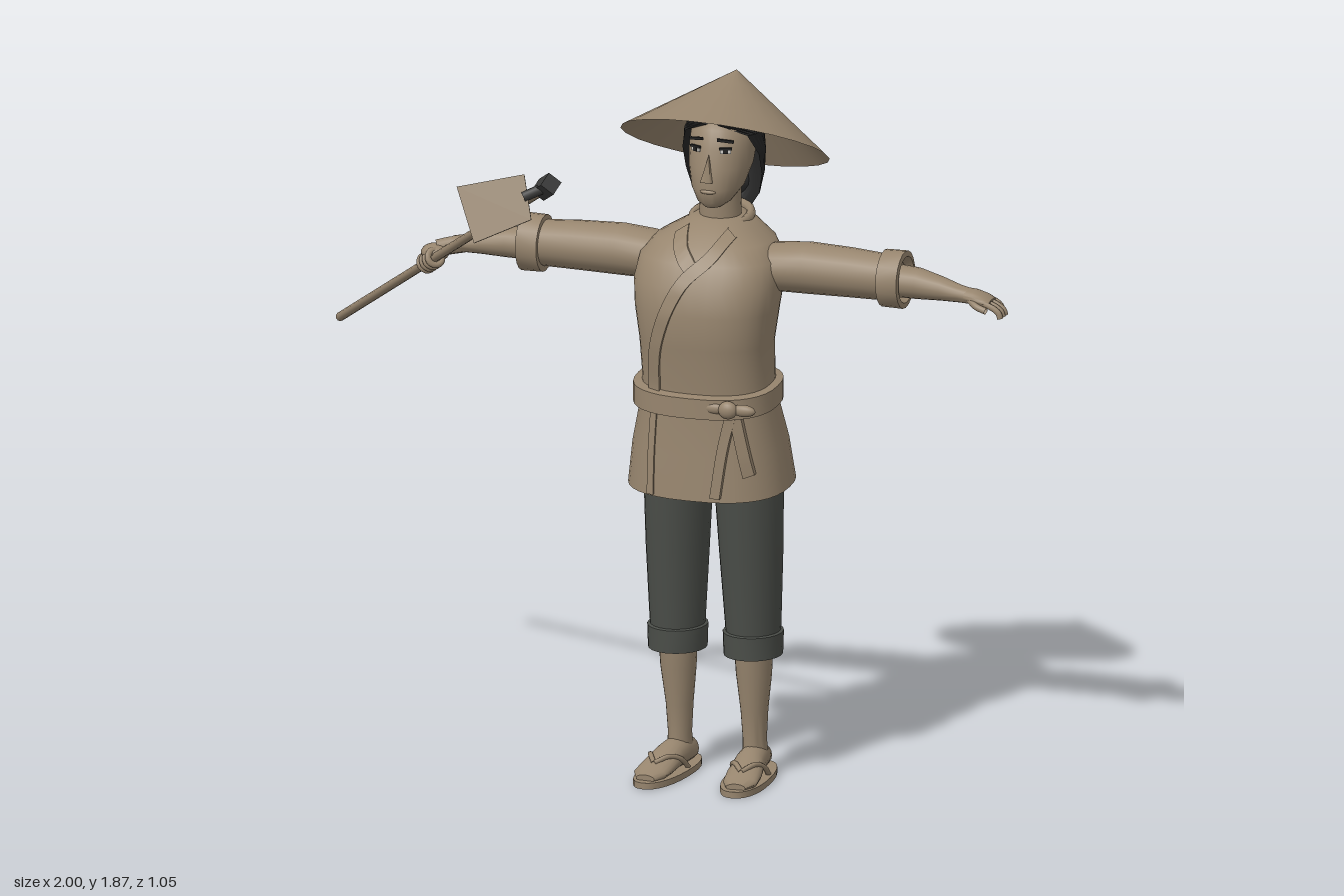
import * as THREE from 'three';
import { toCreasedNormals } from 'three/addons/utils/BufferGeometryUtils.js';
import { ConvexGeometry } from 'three/addons/geometries/ConvexGeometry.js';

const V = (x, y, z) => new THREE.Vector3(x, y, z);
const paint = (name, color) => {
  const m = new THREE.MeshStandardMaterial({ color, side: THREE.DoubleSide });
  m.name = name;
  return m;
};
const tan = paint('tan', 0x97856e), slate = paint('slate', 0x4b4e49);
const black = paint('black', 0x232323), iron = paint('iron', 0x3b3b3a), white = paint('white', 0xd8d6d0);

function add(parent, name, geo, mat) {
  const m = new THREE.Mesh(geo, mat);
  m.name = name;
  parent.add(m);
  return m;
}

// Skin over rounded cross-sections, in increasing order along an axis (0 x, 1 y, 2 z).
// Ring: [position, centre 1, radius 1, centre 2, radius 2, opening half-angle]
function loft(axis, rings, { n = 20, exp = 2, cap0 = true, cap1 = true } = {}) {
  const pos = [], idx = [], put = (a, b, c) => {
    const p = [0, 0, 0];
    p[axis] = a; p[(axis + 1) % 3] = b; p[(axis + 2) % 3] = c;
    pos.push(...p);
  };
  const pw = t => Math.sign(t) * Math.abs(t) ** (2 / exp);
  for (const [a, c1, r1, c2, r2, open = 0] of rings)
    for (let j = 0; j <= n; j++) {
      const t = open + (j / n) * (2 * Math.PI - 2 * open);
      put(a, c1 + r1 * pw(Math.cos(t)), c2 + r2 * pw(Math.sin(t)));
    }
  const w = n + 1, last = (rings.length - 1) * w;
  for (let i = 0; i < last; i += w)
    for (let j = i; j < i + n; j++) idx.push(j, j + 1, j + w, j + 1, j + w + 1, j + w);
  const cap = (ring, base, flip) => {
    const c = pos.length / 3;
    put(ring[0], ring[1], ring[3]);
    for (let j = base; j < base + n; j++) flip ? idx.push(c, j + 1, j) : idx.push(c, j, j + 1);
  };
  if (cap0) cap(rings[0], 0, true);
  if (cap1) cap(rings[rings.length - 1], last, false);
  return finish(pos, idx);
}
function finish(pos, idx) {
  const g = new THREE.BufferGeometry();
  g.setAttribute('position', new THREE.Float32BufferAttribute(pos, 3));
  g.setIndex(idx);
  return toCreasedNormals(g, 0.8);
}
// Move vertices by a rule
function warp(g, rule) {
  const p = g.attributes.position, v = V(0, 0, 0);
  for (let i = 0; i < p.count; i++) { v.fromBufferAttribute(p, i); rule(v); p.setXYZ(i, v.x, v.y, v.z); }
  return g;
}
const tilt = v => { if (v.y < 1.15) v.y -= (v.z + 0.15) * 0.08; };
const tube = (pts, r, n = 12) => new THREE.TubeGeometry(new THREE.CatmullRomCurve3(pts), n, r, 8);
const ball = (x, y, z, a, b, c) => new THREE.SphereGeometry(1, 18, 12).scale(a, b, c).translate(x, y, z);
const box = (x, y, z, a, b, c) => new THREE.BoxGeometry(a, b, c).translate(x, y, z);
function rod(a, b, r) {
  const d = b.clone().sub(a), q = new THREE.Quaternion().setFromUnitVectors(V(0, 1, 0), d.clone().normalize());
  return new THREE.CylinderGeometry(r, r, d.length(), 10).applyQuaternion(q).translate((a.x + b.x) / 2, (a.y + b.y) / 2, (a.z + b.z) / 2);
}
// Mirrored copy of a group across x, with winding kept outward
function mirrored(group, name) {
  const out = new THREE.Group();
  out.name = name;
  for (const m of group.children) {
    const g = m.geometry.index ? m.geometry.toNonIndexed() : m.geometry.clone();
    g.scale(-1, 1, 1);
    for (const a of [g.attributes.position, g.attributes.normal])
      for (let i = 0; i < a.count; i += 3)
        for (let k = 0; k < 3; k++) {
          const t = a.getComponent(i + 1, k);
          a.setComponent(i + 1, k, a.getComponent(i + 2, k));
          a.setComponent(i + 2, k, t);
        }
    add(out, m.name, g, m.material);
  }
  return out;
}

// Tunic sections: [y, half width, front z, back z]
const tunic = [[.805, .217, .025, -.325], [.92, .203, .018, -.3], [1.03, .18, .01, -.27], [1.1, .172, .01, -.262],
  [1.2, .175, .028, -.255], [1.29, .188, .034, -.265], [1.36, .196, .02, -.28], [1.42, .188, -.012, -.295],
  [1.46, .155, -.05, -.305], [1.49, .1, -.1, -.31], [1.51, .07, -.135, -.3]];
const EXP = 2.5;
function frontZ(x, y) {
  let i = 0;
  while (i < tunic.length - 2 && tunic[i + 1][0] < y) i++;
  const t = THREE.MathUtils.clamp((y - tunic[i][0]) / (tunic[i + 1][0] - tunic[i][0]), 0, 1);
  const [, w, f, b] = tunic[i].map((q, k) => q + (tunic[i + 1][k] - q) * t);
  return (f + b) / 2 + (f - b) / 2 * Math.max(0, 1 - (Math.abs(x) / w) ** EXP) ** (1 / EXP);
}
// Raised strip of cloth lying on the front of the tunic
function strip(pts, width, lift = 0.01) {
  const curve = new THREE.CatmullRomCurve3(pts.map(([x, y]) => V(x, y, 0))), pos = [], idx = [], n = 24;
  for (let i = 0; i <= n; i++) {
    const p = curve.getPoint(i / n), t = curve.getTangent(i / n);
    for (const [s, h] of [[-1, -.004], [-1, lift], [1, lift], [1, -.004]]) {
      const x = p.x - t.y * s * width / 2, y = p.y + t.x * s * width / 2;
      pos.push(x, y, frontZ(x, y) + h);
    }
    if (i < n) for (let k = 0, o = i * 4; k < 3; k++) idx.push(o + k, o + k + 4, o + k + 1, o + k + 1, o + k + 4, o + k + 5);
  }
  return warp(finish(pos, idx), tilt);
}

export function createModel() {
  const model = new THREE.Group(), body = new THREE.Group();
  model.name = 'farmer';
  body.name = 'figure';
  body.position.x = 0.18;
  model.add(body);

  // Tunic, collar and belt
  add(body, 'tunic', warp(loft(1, tunic.map(([y, w, f, b]) => [y, (f + b) / 2, (f - b) / 2, 0, w]),
    { n: 36, exp: EXP, cap0: false }), tilt), tan);
  add(body, 'collar', new THREE.TorusGeometry(1, .16, 8, 28).rotateX(Math.PI / 2).scale(.075, .1, .09)
    .rotateX(.15).translate(0, 1.5, -.222), tan);
  add(body, 'rightLapel', strip([[-.07, 1.49], [-.045, 1.45], [.005, 1.4]], .035, .006), tan);
  add(body, 'leftLapel', strip([[.07, 1.49], [.04, 1.44], [-.02, 1.38], [-.07, 1.28], [-.1, 1.18], [-.108, 1.07]], .035), tan);
  add(body, 'skirtEdge', strip([[-.108, 1.05], [-.112, .92], [-.112, .81]], .02, .007), tan);
  add(body, 'belt', warp(loft(1, [[1.03, -.125, .135, 0, .172], [1.033, -.122, .158, 0, .194],
    [1.087, -.122, .158, 0, .194], [1.09, -.125, .135, 0, .17]], { n: 36, exp: EXP, cap0: false, cap1: false }), tilt), tan);
  add(body, 'beltKnot', ball(.11, 1.05, .03, .026, .024, .018), tan);
  for (const s of [-1, 1])
    add(body, 'beltBow', ball(.11 + s * .04, 1.05, .022, .034, .016, .014), tan);
  add(body, 'longBeltTail', strip([[.11, 1.05], [.09, .95], [.073, .82]], .026, .014), tan);
  add(body, 'shortBeltTail', strip([[.115, 1.05], [.135, .96], [.155, .875]], .026, .014), tan);

  // Head
  add(body, 'neck', loft(1, [[1.44, -.225, .065, 0, .065], [1.5, -.215, .055, 0, .055], [1.62, -.21, .055, 0, .055]]), tan);
  add(body, 'head', loft(1, [[1.545, -.158, .025, 0, .022], [1.56, -.168, .05, 0, .044], [1.595, -.195, .082, 0, .068],
    [1.65, -.22, .1, 0, .083], [1.7, -.235, .102, 0, .087], [1.75, -.24, .092, 0, .082], [1.775, -.243, .07, 0, .06]], { n: 28 }), tan);
  add(body, 'nose', new THREE.ConeGeometry(.019, .075, 4).rotateY(Math.PI / 4).rotateX(-.25).translate(0, 1.655, -.117), tan);
  add(body, 'mouth', ball(0, 1.592, -.117, .022, .006, .008), tan);
  for (const s of [-1, 1]) {
    const face = g => g.rotateY(s * .42).translate(s * .041, 0, -.139);
    add(body, 'eyeWhite', face(box(0, 1.699, 0, .028, .009, .006)), white);
    add(body, 'iris', face(box(0, 1.7, .002, .012, .011, .006)), black);
    add(body, 'eyelid', face(box(0, 1.707, .001, .034, .006, .007)), black);
    add(body, 'eyebrow', face(new THREE.BoxGeometry(.044, .007, .008).rotateZ(-s * .15).translate(0, 1.728, -.001)), black);
  }
  add(body, 'hair', loft(1, [[1.525, -.25, .06, 0, .07, 1.85], [1.56, -.25, .078, 0, .092, 1.6], [1.62, -.245, .097, 0, .106, 1.5],
    [1.68, -.242, .105, 0, .11, 1.3], [1.735, -.243, .102, 0, .105, .95], [1.765, -.242, .092, 0, .096, .15],
    [1.785, -.235, .06, 0, .06]], { n: 30, cap0: false }), black);
  add(body, 'bun', ball(0, 1.56, -.355, .052, .052, .05), black);
  // Straw hat, tipped back
  add(body, 'strawHat', new THREE.ConeGeometry(.277, .197, 24, 4, true).translate(0, .0985, 0).rotateX(-.468).translate(0, 1.69, -.2475), tan);

  // Arms
  const arm = new THREE.Group();
  arm.name = 'leftArm';
  add(arm, 'sleeve', loft(0, [[.09, 1.385, .05, -.165, .07], [.17, 1.394, .064, -.172, .078], [.26, 1.397, .068, -.176, .074],
    [.38, 1.396, .065, -.175, .068], [.5, 1.393, .06, -.172, .062]]), tan);
  add(arm, 'sleeveCuff', loft(0, [[.47, 1.392, .055, -.172, .055], [.472, 1.392, .076, -.172, .072],
    [.53, 1.392, .077, -.172, .073], [.532, 1.392, .062, -.172, .06], [.51, 1.392, .05, -.172, .05]]), tan);
  add(arm, 'forearm', loft(0, [[.49, 1.39, .044, -.168, .048], [.57, 1.388, .041, -.165, .044], [.64, 1.383, .031, -.155, .034],
    [.69, 1.377, .023, -.148, .027], [.72, 1.374, .02, -.145, .027]]), tan);
  body.add(arm, mirrored(arm, 'rightArm'));

  // Open left hand
  const hand = new THREE.Group();
  hand.name = 'leftHand';
  add(hand, 'palm', loft(0, [[.7, 1.376, .02, -.147, .025], [.735, 1.373, .02, -.145, .034], [.765, 1.367, .016, -.144, .037],
    [.782, 1.361, .011, -.144, .034]]), tan);
  for (let i = 0; i < 4; i++) {
    const z = -.173 + i * .019, e = i === 0 ? -.012 : 0;
    add(hand, 'finger', tube([V(.77, 1.364, z), V(.795 + e / 2, 1.354, z), V(.81 + e, 1.342, z), V(.814 + e, 1.329, z)], .0085), tan);
  }
  add(hand, 'thumb', tube([V(.725, 1.37, -.125), V(.752, 1.358, -.105), V(.78, 1.35, -.1)], .009), tan);
  body.add(hand);

  // Legs and sandals
  add(body, 'trouserSeat', loft(1, [[.77, -.165, .05, 0, .04], [.81, -.163, .09, 0, .13], [.9, -.15, .105, 0, .165], [1.0, -.14, .1, 0, .15]]), slate);
  const leg = new THREE.Group();
  leg.name = 'leftLeg';
  add(leg, 'trouserLeg', loft(1, [[.345, -.177, .078, .105, .068], [.42, -.175, .081, .105, .073], [.62, -.168, .094, .102, .083],
    [.8, -.1625, .103, .098, .09], [.93, -.15, .1, .09, .085]]), slate);
  add(leg, 'trouserCuff', loft(1, [[.335, -.176, .06, .105, .055], [.336, -.176, .086, .105, .077], [.398, -.176, .088, .105, .079],
    [.402, -.176, .078, .105, .069]]), slate);
  add(leg, 'calf', loft(1, [[.04, -.195, .042, .105, .034], [.1, -.19, .036, .104, .031], [.18, -.187, .04, .104, .036],
    [.28, -.181, .05, .105, .047], [.37, -.178, .055, .105, .052]]), tan);
  const splay = g => g.translate(-.108, 0, .18).rotateY(.08).translate(.108, 0, -.18);
  add(leg, 'foot', splay(loft(2, [[-.255, .105, .012, .035, .018], [-.235, .105, .034, .045, .033], [-.18, .106, .038, .05, .04],
    [-.13, .107, .041, .047, .037], [-.07, .11, .047, .035, .026], [-.02, .112, .046, .026, .017], [.015, .11, .026, .022, .01]])), tan);
  add(leg, 'sandalSole', splay(loft(1, [[0, -.12, .16, .108, .059], [.017, -.12, .16, .108, .059]], { n: 28, exp: 2.3 })), tan);
  for (const s of [-1, 1])
    add(leg, 'sandalStrap', splay(tube([V(.11, .05, -.04), V(.11 + s * .026, .062, -.075), V(.108 + s * .043, .046, -.115),
      V(.108 + s * .045, .018, -.15)], .007)), tan);
  body.add(leg, mirrored(leg, 'rightLeg'));

  // Hoe
  const hoe = new THREE.Group(), a = V(-.99, 1.03, -.515), b = V(-.06, 1.73, .425);
  hoe.name = 'hoe';
  model.add(hoe);
  const dir = b.clone().sub(a).normalize(), turn = new THREE.Quaternion().setFromUnitVectors(V(0, 1, 0), dir);
  add(hoe, 'handle', rod(a, b, .012), tan);
  add(hoe, 'socket', new THREE.BoxGeometry(.042, .07, .042).applyQuaternion(turn).translate(-.072, 1.725, .417), iron);
  add(hoe, 'bladeNeck', rod(V(-.072, 1.725, .42), V(-.125, 1.7, .447), .014), iron);
  const corners = [V(-.297, 1.72, .482), V(-.13, 1.755, .425), V(-.097, 1.645, .462), V(-.235, 1.583, .52)];
  const off = corners[1].clone().sub(corners[0]).cross(corners[3].clone().sub(corners[0])).normalize().multiplyScalar(.004);
  add(hoe, 'blade', new ConvexGeometry(corners.flatMap(c => [c.clone().add(off), c.clone().sub(off)])), tan);

  // Right fist around the handle
  const fist = new THREE.Group();
  fist.name = 'rightHand';
  model.add(fist);
  add(fist, 'palm', tube([V(-.51, 1.375, -.148), V(-.545, 1.369, -.138), V(-.575, 1.362, -.125)], .024), tan);
  add(fist, 'knuckles', ball(-.578, 1.354, -.117, .038, .024, .036), tan);
  for (let i = 0; i < 4; i++) {
    const p = a.clone().lerp(b, .413 + i * .0135);
    add(fist, 'finger', new THREE.TorusGeometry(.02, .009, 8, 16).rotateX(Math.PI / 2).applyQuaternion(turn).translate(p.x, p.y, p.z), tan);
  }
  add(fist, 'thumb', tube([V(-.54, 1.37, -.12), V(-.55, 1.362, -.09), V(-.57, 1.35, -.082)], .01), tan);
  return model;
}
